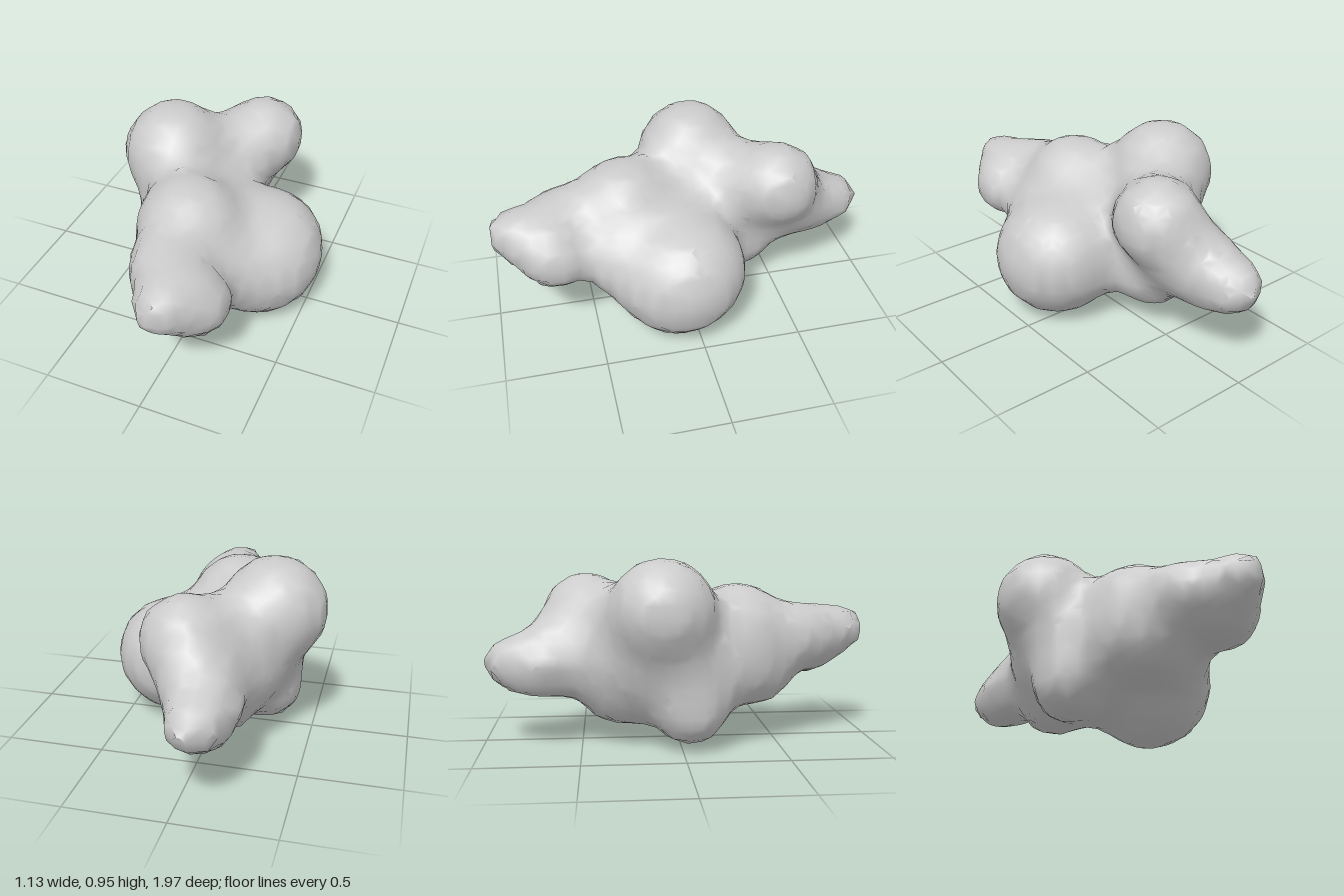
import * as THREE from 'three';

// Lobes of the blob: x, y, z, radius
const LOBES = [
  [0.07, 0.565, 0.89, 0.11],   // front tip
  [0.1, 0.52, 0.74, 0.15],     // front snout
  [0.18, 0.45, 0.68, 0.145],   // front lobe, left side
  [-0.04, 0.54, 0.62, 0.16],   // front lobe, right side
  [-0.04, 0.55, 0.3, 0.265],   // upper middle
  [-0.04, 0.36, 0.4, 0.18],    // lower middle
  [0.17, 0.37, 0.33, 0.19],    // left middle
  [-0.15, 0.38, 0.22, 0.17],   // right middle
  [0.27, 0.34, 0.02, 0.28],    // large left lobe
  [0.3, 0.3, 0.12, 0.235],     // its front
  [0.2, 0.26, 0.1, 0.245],     // its underside
  [-0.3, 0.69, -0.1, 0.265],   // tall right lobe
  [-0.26, 0.42, 0.0, 0.17],    // right flank
  [-0.25, 0.2, 0.04, 0.18],    // lower right lobe
  [0, 0.4, 0.05, 0.24],        // core
  [-0.08, 0.26, -0.12, 0.16],  // belly
  [-0.19, 0.42, -0.24, 0.18],  // right back flank
  [-0.08, 0.6, -0.3, 0.19],    // back bridge
  [0.06, 0.65, -0.48, 0.215],  // upper back lobe
  [-0.06, 0.26, -0.33, 0.165], // lower back lobe
  [-0.07, 0.43, -0.52, 0.175], // tail root
  [-0.03, 0.5, -0.62, 0.14],   // tail ridge
  [-0.1, 0.4, -0.73, 0.155],   // tail
  [-0.08, 0.42, -0.89, 0.105], // tail tip
];
const BLEND = 0.14;

// Signed distance to the smoothly blended lobes
function field(x, y, z) {
  let d = 10;
  for (const [cx, cy, cz, r] of LOBES) {
    const e = Math.hypot(x - cx, y - cy, z - cz) - r;
    const h = Math.max(BLEND - Math.abs(d - e), 0);
    d = Math.min(d, e) - (h * h) / (4 * BLEND);
  }
  return d;
}

// Skin of the field, one vertex for each grid cell the surface crosses
function skin(min, max, step) {
  const n = min.map((m, i) => Math.ceil((max[i] - m) / step) + 1);
  const stride = [1, n[0], n[0] * n[1]];
  const id = (p) => p[0] + p[1] * stride[1] + p[2] * stride[2];
  const values = new Float32Array(n[0] * n[1] * n[2]);
  const each = (fn) => {
    for (let k = 0; k < n[2]; k++)
      for (let j = 0; j < n[1]; j++)
        for (let i = 0; i < n[0]; i++) fn([i, j, k]);
  };
  each((p) => { values[id(p)] = field(...p.map((c, i) => min[i] + c * step)); });

  const cells = new Map(), positions = [], indices = [];
  each((p) => {
    if (p.some((c, i) => c >= n[i] - 1)) return;
    const sum = [0, 0, 0];
    let count = 0;
    for (let a = 0; a < 3; a++) {
      for (let c = 0; c < 4; c++) {
        const q = [0, 0, 0];
        q[(a + 1) % 3] = c & 1;
        q[(a + 2) % 3] = c >> 1;
        const at = id(p) + id(q);
        const v0 = values[at], v1 = values[at + stride[a]];
        if ((v0 < 0) === (v1 < 0)) continue;
        q[a] = v0 / (v0 - v1);
        q.forEach((s, i) => { sum[i] += s; });
        count++;
      }
    }
    if (!count) return;
    cells.set(id(p), positions.length / 3);
    positions.push(...sum.map((s, i) => min[i] + (p[i] + s / count) * step));
  });

  // A quad around every grid edge the surface cuts
  each((p) => {
    const at = id(p);
    for (let a = 0; a < 3; a++) {
      if (p[a] >= n[a] - 1) continue;
      const inside = values[at] < 0;
      if (inside === (values[at + stride[a]] < 0)) continue;
      const u = stride[(a + 1) % 3], v = stride[(a + 2) % 3];
      const q = [at, at - u, at - u - v, at - v].map((c) => cells.get(c));
      if (!inside) q.reverse();
      indices.push(q[0], q[1], q[2], q[0], q[2], q[3]);
    }
  });

  const geometry = new THREE.BufferGeometry();
  geometry.setAttribute('position', new THREE.Float32BufferAttribute(positions, 3));
  geometry.setIndex(indices);
  geometry.computeVertexNormals();
  return geometry;
}

export function createModel() {
  const group = new THREE.Group();
  group.name = 'lobedBlob';
  const body = new THREE.Mesh(
    skin([-0.75, -0.2, -1.2], [0.75, 1.15, 1.2], 0.07),
    new THREE.MeshStandardMaterial({ color: 0xcccccc }),
  );
  body.name = 'body';
  group.add(body);
  return group;
}
